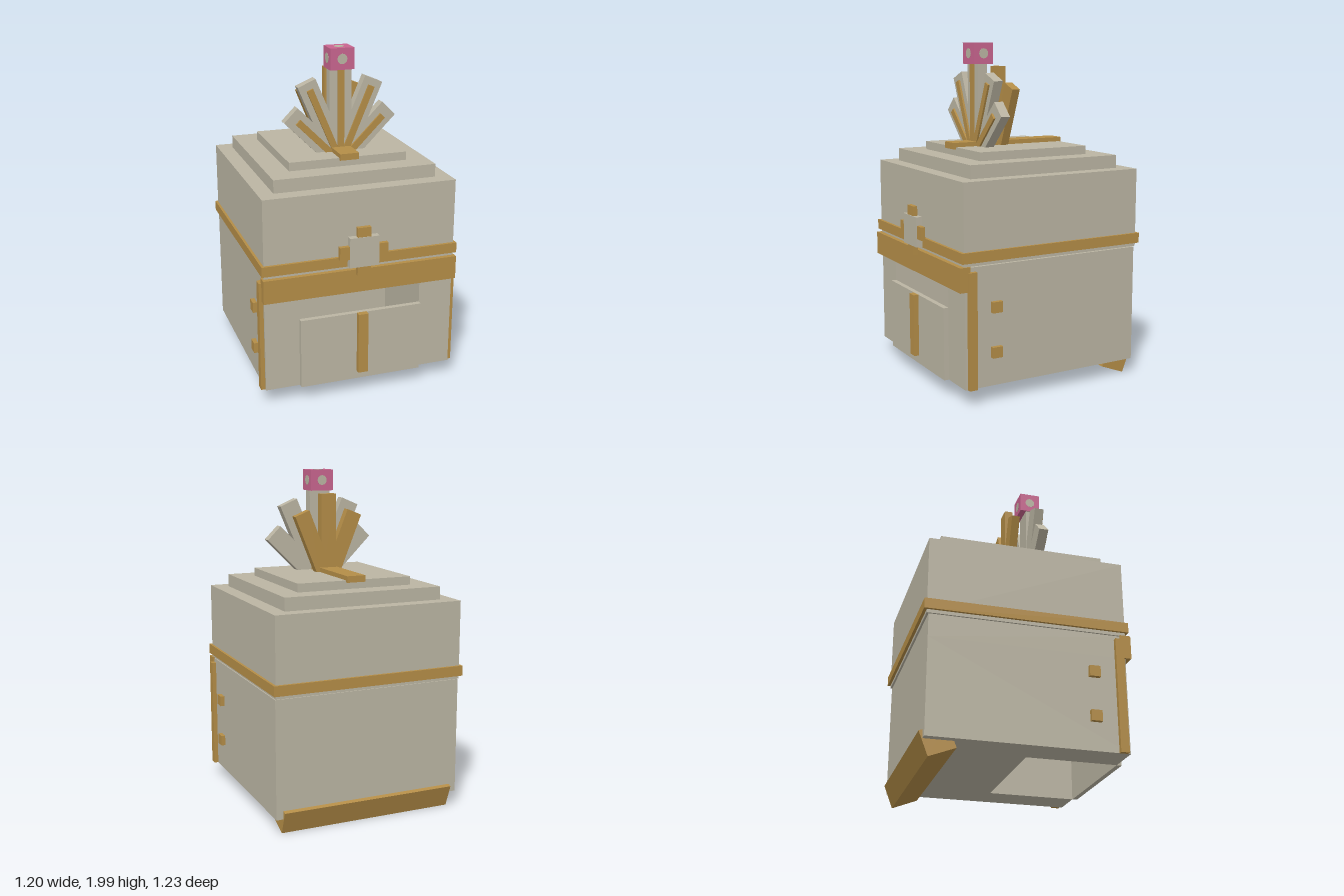
import * as THREE from 'three';

const mat = (name, color) => Object.assign(new THREE.MeshStandardMaterial({ color }), { name });

export function createModel() {
  const stone = mat('stone grey', 0xbbb5a3);
  const gold = mat('gold', 0xb48d47);
  const pink = mat('pink', 0xc9658f);
  const model = new THREE.Group();
  model.name = 'chest';

  const add = (name, geometry, material, parent = model) => {
    const mesh = new THREE.Mesh(geometry, material);
    mesh.name = name;
    parent.add(mesh);
    return mesh;
  };
  // box given by its lower and upper bounds on each axis
  const box = (name, material, x0, x1, y0, y1, z0, z1, parent) => {
    const mesh = add(name, new THREE.BoxGeometry(x1 - x0, y1 - y0, z1 - z0), material, parent);
    mesh.position.set((x0 + x1) / 2, (y0 + y1) / 2, (z0 + z1) / 2);
    return mesh;
  };
  // box symmetric about x = 0
  const mid = (name, material, hx, y0, y1, z0, z1, parent) =>
    box(name, material, -hx, hx, y0, y1, z0, z1, parent);

  // body: U-shaped plan around a chamber open at the front and below
  const plan = new THREE.Shape([
    [-0.575, 0.585], [-0.575, -0.55], [-0.37, -0.55], [-0.37, -0.02],
    [0.37, -0.02], [0.37, -0.55], [0.575, -0.55], [0.575, 0.585],
  ].map(([x, y]) => new THREE.Vector2(x, y)));
  const walls = new THREE.ExtrudeGeometry(plan, { depth: 0.56, bevelEnabled: false });
  walls.rotateX(-Math.PI / 2);
  add('bodyWalls', walls, stone).position.y = 0.1;
  mid('bodyTop', stone, 0.575, 0.66, 0.795, -0.585, 0.55);

  // front door, its handle strip and the band above
  mid('door', stone, 0.37, 0.1, 0.525, 0.55, 0.58);
  mid('doorStrip', gold, 0.03, 0.15, 0.525, 0.575, 0.61);
  mid('frontBand', gold, 0.585, 0.66, 0.8, 0.52, 0.583);

  // side posts and studs
  for (const s of [-1, 1]) {
    const side = (name, y0, y1, z0, z1) =>
      box(name, gold, Math.min(s * 0.56, s * 0.6), Math.max(s * 0.56, s * 0.6), y0, y1, z0, z1);
    side('sidePost', 0.1, 0.77, 0.485, 0.535);
    side('upperStud', 0.525, 0.588, 0.325, 0.388);
    side('lowerStud', 0.265, 0.328, 0.325, 0.388);
  }

  // tilted rear foot
  const foot = add('rearFoot', new THREE.BoxGeometry(1.065, 0.145, 0.162), gold);
  foot.position.set(0, 0.102, -0.505);
  foot.rotation.x = -0.37;

  // stepped lid with rim
  mid('lid', stone, 0.575, 0.8, 1.265, -0.595, 0.555);
  mid('lidRim', gold, 0.59, 0.82, 0.88, -0.612, 0.572);
  mid('lidStep', stone, 0.485, 1.265, 1.342, -0.51, 0.465);
  mid('lidTop', stone, 0.356, 1.342, 1.392, -0.38, 0.335);
  mid('topStrip', gold, 0.057, 1.38, 1.418, -0.395, 0.352);

  // cross clasp on the front
  mid('claspPlate', stone, 0.088, 0.825, 1.003, 0.575, 0.614);
  mid('claspVertical', gold, 0.04, 0.77, 1.06, 0.583, 0.61);
  mid('claspHorizontal', gold, 0.145, 0.875, 0.953, 0.583, 0.609);

  // fans of bars leaning out from one pivot in the lid
  const fan = (name, material, width, z0, z1, bars) => {
    for (const [degrees, length] of bars) {
      for (const s of degrees ? [-1, 1] : [1]) {
        const geometry = new THREE.BoxGeometry(width, length, z1 - z0);
        geometry.translate(0, length / 2, 0);
        const bar = add(name, geometry, material);
        bar.position.set(0, 1.325, (z0 + z1) / 2);
        bar.rotation.z = -s * THREE.MathUtils.degToRad(degrees);
      }
    }
  };
  fan('crestBar', stone, 0.115, 0.132, 0.19, [[23, 0.52], [45, 0.422]]);
  fan('crestCentre', stone, 0.132, 0.131, 0.191, [[0, 0.55]]);
  fan('crestInlay', gold, 0.039, 0.14, 0.202, [[0, 0.55], [23, 0.478], [45, 0.365]]);
  fan('rearCrestBar', gold, 0.097, -0.005, 0.045, [[0, 0.535], [22, 0.455]]);

  // pink gem cube with a pale dot on every face
  const gem = new THREE.Group();
  gem.name = 'gem';
  gem.position.set(0, 1.9365, 0.157);
  model.add(gem);
  const size = [0.144, 0.125, 0.126];
  add('gemCube', new THREE.BoxGeometry(...size), pink, gem);
  const axes = [new THREE.Vector3(1, 0, 0), new THREE.Vector3(0, 1, 0), new THREE.Vector3(0, 0, 1)];
  axes.forEach((axis, i) => {
    for (const s of [-1, 1]) {
      const dot = add('gemDot', new THREE.CylinderGeometry(0.03, 0.03, 0.004, 12), stone, gem);
      dot.quaternion.setFromUnitVectors(axes[1], axis);
      dot.position.copy(axis).multiplyScalar(s * (size[i] / 2 - 0.001));
    }
  });

  return model;
}
